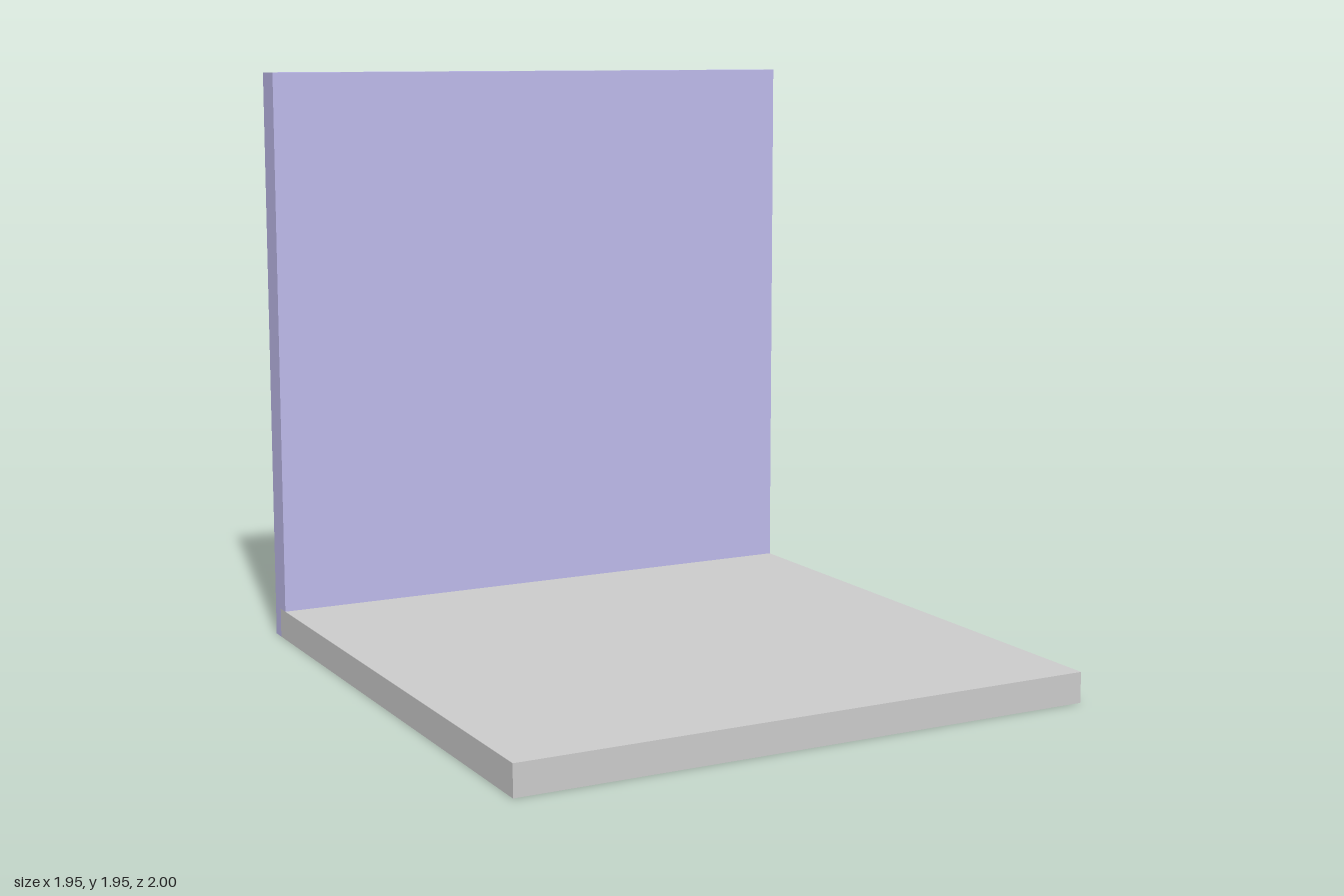
import * as THREE from 'three';

const WIDTH = 1.95;

// Extrudes a [z, y] side profile across the full width, centred on x = 0.
function panel(name, profile, color) {
  const shape = new THREE.Shape(profile.map(([z, y]) => new THREE.Vector2(z, y)));
  const geometry = new THREE.ExtrudeGeometry(shape, { depth: WIDTH, bevelEnabled: false });
  geometry.translate(0, 0, -WIDTH / 2);
  geometry.rotateY(-Math.PI / 2);
  const mesh = new THREE.Mesh(geometry, new THREE.MeshStandardMaterial({ color }));
  mesh.name = name;
  return mesh;
}

export function createModel() {
  const group = new THREE.Group();
  group.name = 'floorAndWall';

  // Flat floor slab, its rear edge seated in the wall
  group.add(panel('floor', [[-0.95, 0], [1, 0], [1, 0.1], [-0.95, 0.1]], 0xcccccc));

  // Upright back wall, rebated at the foot to receive the floor
  group.add(panel('backWall',
    [[-1, 0], [-0.95, 0], [-0.95, 0.1], [-0.9, 0.1], [-0.9, 1.95], [-1, 1.95]], 0xbdb9e9));

  return group;
}
